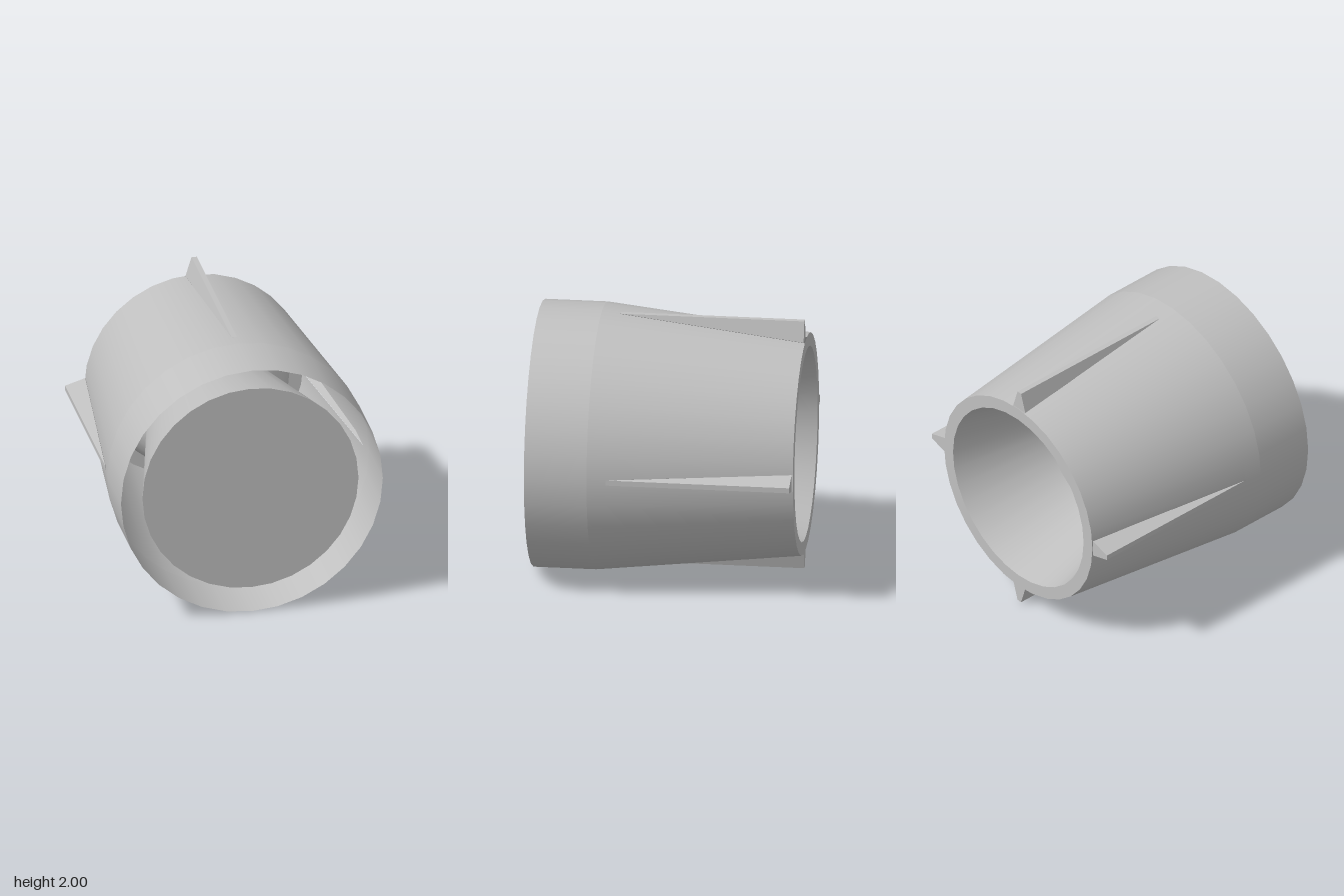
import * as THREE from 'three';

const SIDES = 32;
const STEP = (Math.PI * 2) / SIDES;
const Z_SHOULDER = 0.53, Z_FIN = 0.39, Z_BACK = -1;
const R_FRONT = 1, R_BACK = 0.835;
const SLOPE = (R_FRONT - R_BACK) / (Z_SHOULDER - Z_BACK);
const coneRadius = (z) => R_FRONT - (Z_SHOULDER - z) * SLOPE;

// Open tube along z from the back radius to the front radius
function tube(rFront, zFront, rBack, zBack) {
  const g = new THREE.CylinderGeometry(rFront, rBack, zFront - zBack, SIDES, 1, true);
  return g.rotateX(Math.PI / 2).translate(0, 0, (zFront + zBack) / 2);
}

// Quarter of the tapered skin, leaving a narrow slot under each fin
function skinQuarter() {
  const pos = [], nor = [], idx = [];
  const columns = SIDES / 4;
  const rows = [[Z_FIN, 0.02], [Z_BACK, 0.067]];
  rows.forEach(([z, half]) => {
    const r = coneRadius(z), edge = Math.asin(half / r);
    for (let i = 0; i <= columns; i++) {
      let a = i * STEP, rad = r;
      if (i === 0 || i === columns) {
        a += i === 0 ? edge : -edge;
        rad = (r * Math.cos(STEP / 2)) / Math.cos(edge - STEP / 2);
      }
      pos.push(Math.cos(a) * rad, Math.sin(a) * rad, z);
      const n = new THREE.Vector3(Math.cos(a), Math.sin(a), -SLOPE).normalize();
      nor.push(n.x, n.y, n.z);
    }
  });
  for (let i = 0; i < columns; i++) {
    const b = i + columns + 1;
    idx.push(i, b, i + 1, i + 1, b, b + 1);
  }
  const g = new THREE.BufferGeometry();
  g.setAttribute('position', new THREE.Float32BufferAttribute(pos, 3));
  g.setAttribute('normal', new THREE.Float32BufferAttribute(nor, 3));
  g.setIndex(idx);
  return g;
}

// Hollow wedge fin: narrow flat ridge, sloping sides, trapezoid end
function finGeometry() {
  const top = 0.985, t = 0.02, w = 0.067, zEnd = -0.99;
  const pos = [
    -t, top, Z_FIN, t, top, Z_FIN,
    -t, top, zEnd, t, top, zEnd,
    -w, R_BACK - 0.003, zEnd, w, R_BACK - 0.003, zEnd,
  ];
  const g = new THREE.BufferGeometry();
  g.setAttribute('position', new THREE.Float32BufferAttribute(pos, 3));
  g.setIndex([0, 1, 3, 0, 3, 2, 1, 5, 3, 0, 2, 4, 3, 5, 4, 3, 4, 2]);
  const flat = g.toNonIndexed();
  flat.computeVertexNormals();
  return flat;
}

export function createModel() {
  const grey = new THREE.MeshStandardMaterial({ color: 0xc0c0c0, side: THREE.DoubleSide });
  grey.name = 'grey';
  const model = new THREE.Group();
  model.name = 'finnedNozzle';
  const body = new THREE.Group();
  body.name = 'body';
  body.position.y = 1;
  model.add(body);

  const add = (name, geometry) => {
    const mesh = new THREE.Mesh(geometry, grey);
    mesh.name = name;
    body.add(mesh);
    return mesh;
  };

  // Outer skin: straight collar, then the taper
  add('frontCollar', tube(R_FRONT, 1, R_FRONT, Z_SHOULDER));
  add('taperStart', tube(R_FRONT, Z_SHOULDER, coneRadius(Z_FIN), Z_FIN));

  // Four skin quarters and four fins
  const quarter = skinQuarter(), fin = finGeometry();
  for (let i = 0; i < 4; i++) {
    add('taperedSkin', quarter).rotation.z = (i * Math.PI) / 2;
    add('fin', fin).rotation.z = (i * Math.PI) / 2;
  }

  // Inner core: recessed front plate on a cone that narrows to the throat
  const throatR = 0.53, throatZ = -0.24, plateR = 0.825, plateZ = 0.95, boreR = 0.735;
  add('frontPlate', new THREE.CircleGeometry(plateR, SIDES).translate(0, 0, plateZ));
  add('innerCone', tube(plateR, plateZ, throatR, throatZ));

  // Rear bore: flaring wall, closed floor and rim
  add('boreWall', tube(throatR, throatZ, boreR, Z_BACK));
  add('boreFloor', new THREE.CircleGeometry(throatR, SIDES).rotateY(Math.PI).translate(0, 0, throatZ));
  add('rearRim', new THREE.RingGeometry(boreR, R_BACK, SIDES).rotateY(Math.PI).translate(0, 0, Z_BACK));

  return model;
}
